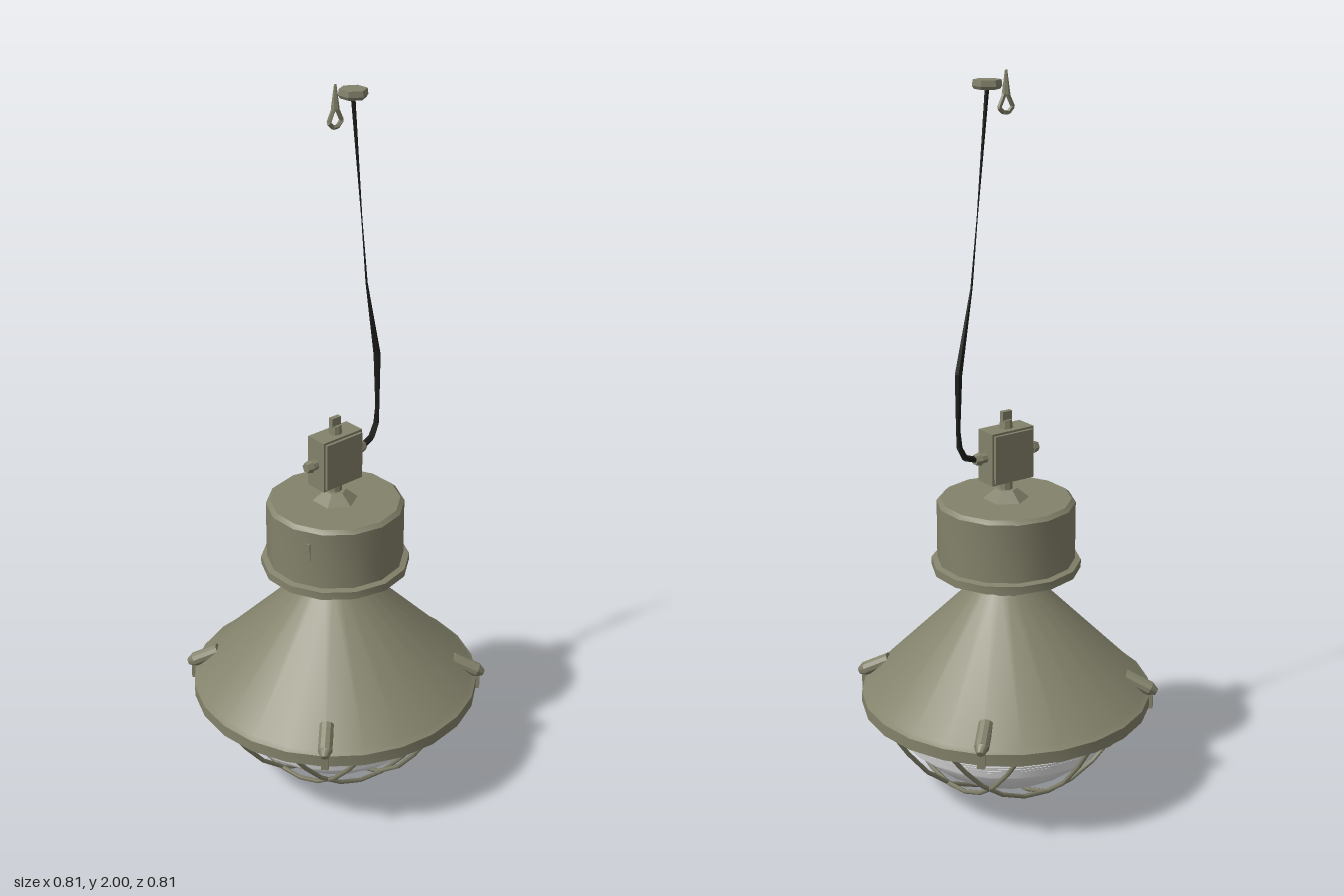
import * as THREE from 'three';
import { toCreasedNormals } from 'three/addons/utils/BufferGeometryUtils.js';

const V = (x, y, z) => new THREE.Vector3(x, y, z);

export function createModel() {
  const group = new THREE.Group();
  const paint = new THREE.MeshStandardMaterial({ color: 0x83826b });
  paint.name = 'olive paint';
  const glass = new THREE.MeshStandardMaterial({ color: 0xf2f2f2 });
  glass.name = 'white glass';
  const rubber = new THREE.MeshStandardMaterial({ color: 0x1c1c1a });
  rubber.name = 'black rubber';

  function add(name, geometry, material = paint, parent = group) {
    const mesh = new THREE.Mesh(geometry, material);
    mesh.name = name;
    parent.add(mesh);
    return mesh;
  }
  // Profile of [radius, y] pairs, listed from bottom to top on the outside
  function turned(name, profile, sides, material) {
    const points = profile.map(([r, y]) => new THREE.Vector2(r, y));
    return add(name, toCreasedNormals(new THREE.LatheGeometry(points, sides), 0.6), material);
  }
  // Tapered round bar from a to b
  function rod(name, a, b, ra, rb, sides, material = paint, parent = group) {
    const geo = toCreasedNormals(new THREE.CylinderGeometry(rb, ra, a.distanceTo(b), sides), 0.6);
    const mesh = add(name, geo, material, parent);
    mesh.position.copy(a).add(b).multiplyScalar(0.5);
    mesh.quaternion.setFromUnitVectors(V(0, 1, 0), b.clone().sub(a).normalize());
    return mesh;
  }

  // Conical shade with its rim
  turned('shade', [[0.35, 0.29], [0.355, 0.27], [0.405, 0.27], [0.405, 0.303],
    [0.39, 0.312], [0.085, 0.622], [0, 0.622]], 24);

  // Neck, and drum with a stepped underside
  turned('neck', [[0.093, 0.61], [0.093, 0.7]], 16);
  turned('drum', [[0.09, 0.69], [0.115, 0.69], [0.115, 0.678], [0.14, 0.678], [0.14, 0.69],
    [0.165, 0.69], [0.165, 0.672], [0.18, 0.666], [0.205, 0.666], [0.205, 0.688], [0.189, 0.692],
    [0.189, 0.855], [0.178, 0.865], [0, 0.865]], 14);
  const plate = add('drum plate', new THREE.BoxGeometry(0.014, 0.05, 0.008));
  plate.position.set(-0.166, 0.795, 0.08);
  plate.rotation.y = -1.12;

  // Hexagonal boss and stem under the junction box
  turned('boss', [[0.065, 0.863], [0.03, 0.892], [0, 0.892]], 6);
  rod('stem', V(0, 0.88, 0), V(0, 0.93, 0), 0.018, 0.018, 8);

  // Junction box with lids and cable glands
  add('junction box', new THREE.BoxGeometry(0.136, 0.145, 0.064)).position.set(0, 0.992, 0);
  for (const s of [-1, 1]) {
    add('box lid', new THREE.BoxGeometry(0.124, 0.133, 0.008)).position.set(0, 0.992, s * 0.036);
    rod('gland', V(s * 0.066, 0.992, 0), V(s * 0.09, 0.992, 0), 0.014, 0.014, 8);
    rod('gland nut', V(s * 0.086, 0.992, 0), V(s * 0.103, 0.992, 0), 0.018, 0.014, 6);
  }

  // Hanging lug on top of the box
  rod('lug stem', V(0, 1.06, 0), V(0, 1.088, 0), 0.019, 0.016, 8);
  add('lug', new THREE.BoxGeometry(0.03, 0.026, 0.014)).position.set(0, 1.098, 0);

  // Ceiling canopy
  turned('ceiling canopy', [[0, 1.957], [0.033, 1.957], [0.038, 1.965], [0.036, 1.98], [0, 1.981]], 6)
    .position.x = 0.058;

  // Ceiling hook: a spike over an open triangular loop
  const hook = new THREE.Group();
  hook.name = 'ceiling hook';
  group.add(hook);
  rod('hook spike', V(0, 1.94, 0), V(0, 2, 0), 0.011, 0.003, 6, paint, hook);
  const corners = [V(0, 1.95, 0), V(0.021, 1.908, 0), V(0.008, 1.895, 0), V(-0.008, 1.895, 0), V(-0.021, 1.908, 0)];
  corners.forEach((c, i) => rod('hook loop', c, corners[(i + 1) % 5], 0.006, 0.006, 5, paint, hook));

  // Slack cable, thinnest halfway up: [x, y, z, radius]
  const path = [[0.098, 0.992, 0, 0.009], [0.135, 1.005, -0.004, 0.009], [0.156, 1.04, -0.008, 0.008],
    [0.162, 1.09, -0.011, 0.006], [0.16, 1.24, -0.012, 0.01], [0.112, 1.46, -0.004, 0.003],
    [0.09, 1.64, 0, 0.0015], [0.058, 1.962, 0, 0.006]];
  const cable = new THREE.Group();
  cable.name = 'cable';
  group.add(cable);
  for (let i = 1; i < path.length; i++) {
    const [a, b] = [path[i - 1], path[i]];
    rod('cable run', V(a[0], a[1], a[2]), V(b[0], b[1], b[2]), a[3], b[3], 5, rubber, cable);
  }

  // Glass bowl: smooth dome below, ribs above
  const bowlY = (r) => 0.032 + 0.243 * (r / 0.366) ** 2.5;
  const profile = [];
  for (let i = 0; i <= 8; i++) profile.push([0.29 * i / 8, bowlY(0.29 * i / 8)]);
  const ribs = 9;
  for (let i = 0; i < ribs; i++) {
    const r = 0.29 + (0.074 * i) / ribs, y = bowlY(r);
    profile.push([r + 0.006, y + 0.001], [r + 0.008, y + 0.008], [r + 0.003, y + 0.009]);
  }
  profile.push([0.366, 0.28]);
  turned('glass bowl', profile, 24, glass);

  // Wire guard: three wires each way, lying on a rounded basket
  const guard = new THREE.Group();
  guard.name = 'wire guard';
  group.add(guard);
  for (const turn of [0, Math.PI / 2]) {
    for (const offset of [-0.2, 0, 0.2]) {
      const reach = Math.sqrt(0.385 ** 2 - offset ** 2);
      const points = [];
      for (let i = -4; i <= 4; i++) {
        const z = (reach * i) / 4;
        points.push(V(offset, 0.007 + 0.268 * (Math.hypot(offset, z) / 0.385) ** 2.55, z));
      }
      const wire = new THREE.TubeGeometry(new THREE.CatmullRomCurve3(points), 10, 0.0065, 5);
      add('guard wire', wire, paint, guard).rotation.y = turn;
    }
  }

  // Four rounded latches lying over the rim
  for (let i = 0; i < 4; i++) {
    const latch = new THREE.Group();
    latch.name = 'latch';
    latch.rotation.y = Math.PI / 4 + (i * Math.PI) / 2;
    group.add(latch);
    rod('latch arm', V(0, 0.356, 0.335), V(0, 0.322, 0.405), 0.02, 0.02, 10, paint, latch);
    rod('latch tip', V(0, 0.322, 0.405), V(0, 0.313, 0.423), 0.02, 0.01, 10, paint, latch);
    add('latch hook', new THREE.BoxGeometry(0.02, 0.045, 0.012), paint, latch).position.set(0, 0.288, 0.408);
  }
  return group;
}
